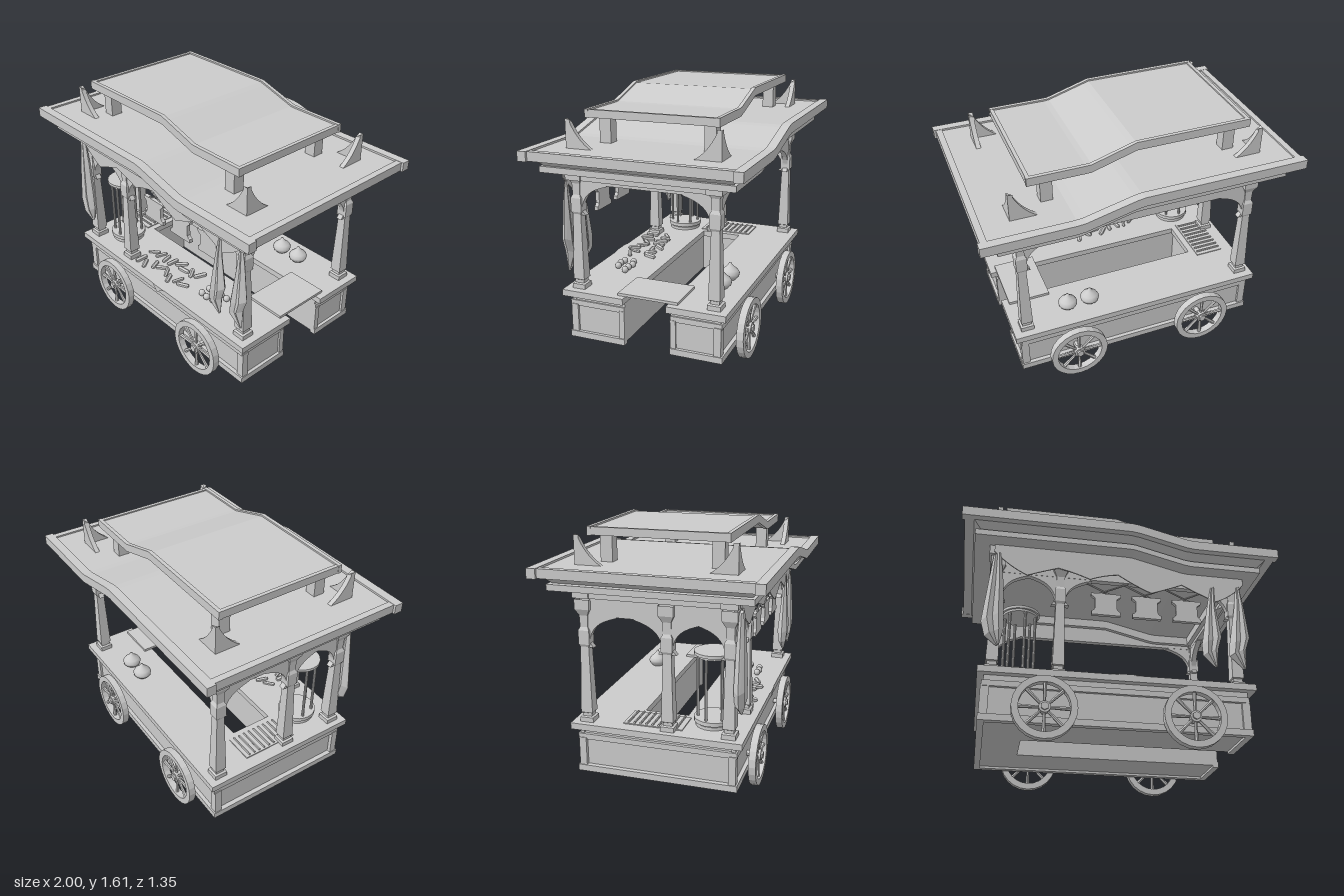
import * as THREE from 'three';

const mat = new THREE.MeshStandardMaterial({ color: 0xcccccc, side: THREE.DoubleSide });
const flat = new THREE.MeshStandardMaterial({ color: 0xcccccc, flatShading: true, side: THREE.DoubleSide });
const V2 = (a) => a.map(([x, y]) => new THREE.Vector2(x, y));

export function createModel() {
  const root = new THREE.Group();

  const add = (name, geo, pos = [0, 0, 0], parent = root, m = flat) => {
    const mesh = new THREE.Mesh(geo, m);
    mesh.name = name;
    mesh.position.set(...pos);
    parent.add(mesh);
    return mesh;
  };
  // Box given by its lower and upper limits on each axis
  const box = (name, x0, x1, y0, y1, z0, z1, parent = root) =>
    add(name, new THREE.BoxGeometry(x1 - x0, y1 - y0, z1 - z0), [(x0 + x1) / 2, (y0 + y1) / 2, (z0 + z1) / 2], parent);
  const extrude = (shape, depth) => new THREE.ExtrudeGeometry(shape, { depth, bevelEnabled: false, curveSegments: 8 });

  // The roof steps down towards +x between a and b
  const drop = (x, a = 0.07, b = 0.42) => -0.085 * THREE.MathUtils.clamp((x - a) / (b - a), 0, 1);
  const bentBox = (name, x0, x1, y0, y1, z0, z1, { a, b, inset = 0, flatBelow = 0 } = {}) => {
    const geo = new THREE.BoxGeometry(x1 - x0, y1 - y0, z1 - z0, 40, 1, 1);
    geo.translate((x0 + x1) / 2, (y0 + y1) / 2, (z0 + z1) / 2);
    const p = geo.attributes.position;
    for (let i = 0; i < p.count; i++) {
      const x = p.getX(i), y = p.getY(i), z = p.getZ(i);
      if (y < (y0 + y1) / 2) {
        p.setX(i, x * (1 - inset / x1));
        p.setZ(i, z * (1 - inset / z1));
      }
      if (y >= flatBelow) p.setY(i, y + drop(x, a, b));
    }
    geo.computeVertexNormals();
    return add(name, geo);
  };

  // Counter body: a U open at +x
  box('frontCounter', -0.79, 0.78, 0.13, 0.4, 0.13, 0.475);
  box('backCounter', -0.79, 0.78, 0.13, 0.4, -0.475, -0.17);
  box('endCounter', -0.79, -0.55, 0.13, 0.4, -0.17, 0.13);
  box('frontCounterTop', -0.84, 0.83, 0.395, 0.435, 0.12, 0.53);
  box('backCounterTop', -0.84, 0.83, 0.395, 0.435, -0.53, -0.16);
  box('endCounterTop', -0.84, -0.53, 0.395, 0.435, -0.16, 0.12);
  box('counterFlap', 0.52, 0.79, 0.436, 0.453, -0.22, 0.17);
  for (const s of [1, -1]) {
    const zi = s > 0 ? 0.13 : 0.17;
    const span = (a, b) => (s > 0 ? [a, b] : [-b, -a]);
    box('bottomRail', -0.82, 0.8, 0.115, 0.155, ...span(0.46, 0.5));
    box('topRail', -0.81, 0.79, 0.325, 0.36, ...span(0.46, 0.495));
    box('upperBand', -0.8, 0.785, 0.36, 0.4, ...span(0.46, 0.485));
    box('endBottomRail', 0.76, 0.8, 0.115, 0.155, ...span(zi, 0.5));
    box('endTopRail', 0.76, 0.79, 0.325, 0.36, ...span(zi, 0.495));
    for (const [x0, x1] of [[-0.815, -0.765], [0.745, 0.795]])
      box('cornerStile', x0, x1, 0.155, 0.335, ...span(0.445, 0.49));
    box('innerStile', 0.76, 0.793, 0.155, 0.335, ...span(zi, zi + 0.035));
  }
  box('farBottomRail', -0.82, -0.78, 0.115, 0.155, -0.5, 0.5);
  box('farTopRail', -0.81, -0.78, 0.325, 0.36, -0.49, 0.49);

  // Wheels with rim, spokes, hub and nut
  const ring = new THREE.Shape().absarc(0, 0, 0.19, 0, Math.PI * 2);
  ring.holes.push(new THREE.Path().absarc(0, 0, 0.15, 0, Math.PI * 2, true));
  const rimGeo = new THREE.ExtrudeGeometry(ring, { depth: 0.045, bevelEnabled: false, curveSegments: 12 });
  const disc = (r, h, n) => new THREE.CylinderGeometry(r, r, h, n).rotateX(Math.PI / 2);
  for (const x of [-0.45, 0.43]) for (const s of [1, -1]) {
    const wheel = new THREE.Group();
    wheel.name = 'wheel';
    wheel.position.set(x, 0.193, s * 0.547);
    if (s < 0) wheel.rotation.y = Math.PI;
    add('rim', rimGeo, [0, 0, -0.0225], wheel);
    for (let i = 0; i < 8; i++) {
      const a = i * Math.PI / 4;
      const spoke = add('spoke', new THREE.CylinderGeometry(0.013, 0.008, 0.14, 6), [0.09 * Math.cos(a), 0.09 * Math.sin(a), 0], wheel);
      spoke.rotation.z = a - Math.PI / 2;
    }
    add('hub', disc(0.035, 0.04, 16), [0, 0, 0], wheel);
    add('nut', disc(0.024, 0.02, 6), [0, 0, 0.022], wheel);
    add('axle', disc(0.018, 0.11, 10), [0, 0, -0.05], wheel);
    root.add(wheel);
  }

  // Square turned posts
  const postPts = V2([[0.042, 0.43], [0.042, 0.465], [0.029, 0.47], [0.029, 0.49], [0.037, 0.495], [0.026, 0.91], [0.034, 0.925],
    [0.034, 1.01], [0.024, 1.03], [0.026, 1.1], [0.046, 1.14], [0.046, 1.2]].map(([r, y]) => [r * Math.SQRT2, y]));
  const postGeo = new THREE.LatheGeometry(postPts, 4, Math.PI / 4);
  // Curved brace springing from a post; the angle points it along the beam
  const braceShape = new THREE.Shape(V2([[0, 0], [0.055, 0], [0.03, 0.03]]));
  braceShape.bezierCurveTo(0.04, 0.12, 0.09, 0.16, 0.2, 0.19);
  braceShape.lineTo(0.2, 0.22);
  braceShape.lineTo(0, 0.22);
  const braceGeo = extrude(braceShape, 0.036).translate(0, 0, -0.018);
  const E = 0, W = Math.PI, N = Math.PI / 2, S = -Math.PI / 2;
  const posts = [[-0.76, 0.44, [E, N]], [-0.37, 0.44, [E, W]], [0.74, 0.44, [W, N]],
    [0.74, -0.44, [W, S]], [-0.76, -0.44, [E, S]], [-0.76, 0.07, [N, S]]];
  for (const [x, z, dirs] of posts) {
    add('post', postGeo, [x, 0, z]);
    for (const d of dirs) add('archBrace', braceGeo, [x, 0.905, z]).rotation.y = d;
  }

  // Beams: level underside, top following the roof
  for (const z of [0.44, -0.44]) {
    bentBox('longBeam', -0.78, 0.76, 1.1, 1.24, z - 0.02, z + 0.02, { flatBelow: 1.15 });
    bentBox('longPlate', -0.82, 0.8, 1.21, 1.28, z - 0.05, z + 0.05);
  }
  box('endBeam', 0.72, 0.76, 1.1, 1.15, -0.44, 0.44);
  box('endPlate', 0.69, 0.79, 1.125, 1.19, -0.44, 0.44);
  box('farBeam', -0.78, -0.74, 1.1, 1.24, -0.44, 0.44);
  box('farPlate', -0.81, -0.71, 1.21, 1.28, -0.44, 0.44);

  // Main roof with stepped eaves
  bentBox('eaveStep', -0.915, 0.895, 1.268, 1.305, -0.6, 0.6);
  bentBox('eaveCove', -0.93, 0.93, 1.305, 1.355, -0.635, 0.635, { inset: 0.055 });
  bentBox('roofDeck', -0.97, 0.97, 1.352, 1.398, -0.63, 0.63);
  for (const s of [1, -1]) {
    bentBox('roofEdgeBoard', -1, 1, 1.35, 1.41, s * 0.645 - 0.028, s * 0.645 + 0.028);
    box('roofEndBoard', s * 0.965 - 0.02, s * 0.965 + 0.02, 1.352 + drop(s), 1.408 + drop(s), -0.63, 0.63);
  }

  // Raised upper roof on short legs
  const up = { a: 0, b: 0.28 };
  bentBox('upperRoof', -0.715, 0.645, 1.565, 1.602, -0.405, 0.405, up);
  for (const s of [1, -1]) {
    bentBox('upperEdgeBoard', -0.73, 0.66, 1.56, 1.612, s * 0.41 - 0.012, s * 0.41 + 0.012, up);
    for (const x of [-0.622, 0.535])
      box('upperRoofLeg', x - 0.037, x + 0.037, 1.39 + drop(x), 1.58 + drop(x), s * 0.335 - 0.037, s * 0.335 + 0.037);
  }
  box('upperEndBoard', -0.728, -0.705, 1.562, 1.61, -0.4, 0.4);
  box('upperEndBoard', 0.635, 0.658, 1.477, 1.525, -0.4, 0.4);

  // Corner horns, each an L of two curved fins
  const fin = new THREE.Shape(V2([[0, 0], [0, 0.175], [-0.03, 0.155]]));
  fin.quadraticCurveTo(-0.08, 0.05, -0.165, 0);
  const finGeo = extrude(fin, 0.03);
  for (const sx of [1, -1]) for (const sz of [1, -1]) {
    const horn = new THREE.Group();
    horn.name = 'cornerHorn';
    horn.scale.set(sx, 1, sz);
    const y = 1.396 + drop(sx);
    add('hornFin', finGeo, [0.785, y, 0.45], horn);
    add('hornFin', finGeo, [0.785, y, 0.48], horn).rotation.y = -Math.PI / 2;
    root.add(horn);
  }

  // Pointed cloth valance along the front
  const valance = new THREE.Shape(V2([[0.81, 1.14], [0.81, 1.19], [0.42, 1.19], [0.07, 1.275], [-0.79, 1.275], [-0.79, 1.22]]));
  for (const [tx, ty, vx, vy] of [[-0.58, 1.07, -0.39, 1.14], [-0.19, 1.08, -0.01, 1.13], [0.2, 1.02, 0.4, 1.1], [0.62, 1.0, 0.81, 1.14]]) {
    valance.quadraticCurveTo(tx - 0.1, ty + 0.04, tx, ty);
    valance.quadraticCurveTo(vx - 0.09, ty + 0.04, vx, vy);
  }
  add('valance', extrude(valance, 0.008), [0, 0, 0.495]);

  // Gathered drapes: rows of [x, y, half width]
  const drape = (rows) => {
    const n = rows.length - 1, geo = new THREE.CylinderGeometry(1, 1, n, 12, n);
    const p = geo.attributes.position;
    for (let i = 0; i < p.count; i++) {
      const [x, y, w] = rows[Math.round(n / 2 - p.getY(i))];
      const fold = 1 + 0.3 * Math.cos(Math.atan2(p.getZ(i), p.getX(i)) * 6);
      p.setXYZ(i, x + p.getX(i) * w, y + p.getX(i) * w * 0.5, 0.5 + p.getZ(i) * Math.min(w, 0.06) * 0.5 * fold);
    }
    add('drape', geo);
  };
  drape([[-0.77, 1.2, 0.022], [-0.77, 1.0, 0.045], [-0.775, 0.76, 0.066], [-0.76, 0.66, 0.055], [-0.735, 0.58, 0.01]]);
  drape([[0.6, 1.1, 0.015], [0.585, 0.95, 0.03], [0.577, 0.72, 0.065], [0.565, 0.64, 0.05], [0.597, 0.545, 0.008]]);
  drape([[0.77, 1.12, 0.012], [0.77, 0.98, 0.032], [0.757, 0.73, 0.068], [0.74, 0.65, 0.055], [0.78, 0.545, 0.008]]);

  // Hanging boards on crossed ropes
  const half = [[0.08, 0.895], [0.07, 0.91], [0.07, 0.98], [0.095, 1.0], [0.095, 1.015]];
  const board = new THREE.Shape(V2([[-0.092, 0.865], [0.092, 0.865], [0.092, 0.89], ...half,
    ...half.slice().reverse().map(([x, y]) => [-x, y]), [-0.092, 0.89]]));
  const boardGeo = extrude(board, 0.025);
  for (const x of [-0.08, 0.18, 0.44]) {
    add('hangingBoard', boardGeo, [x, 0, 0.428]);
    for (const s of [1, -1]) {
      const rope = new THREE.LineCurve3(new THREE.Vector3(x + s * 0.16, 1.11, 0.44 + s * 0.008), new THREE.Vector3(x - s * 0.05, 1.012, 0.44 + s * 0.008));
      add('rope', new THREE.TubeGeometry(rope, 1, 0.006, 6));
    }
  }

  // Round display case
  const C = [-0.6, 0.3];
  for (const [r, y, h] of [[0.11, 0.445, 0.02], [0.085, 0.458, 0.015], [0.12, 0.475, 0.025], [0.12, 0.892, 0.018], [0.108, 0.877, 0.016]])
    add('caseDisc', new THREE.CylinderGeometry(r, r, h, 24), [C[0], y, C[1]], root, mat);
  for (let i = 0; i < 6; i++) {
    const a = i * Math.PI / 3 + 0.25;
    add('caseBar', new THREE.CylinderGeometry(0.009, 0.009, 0.4, 8), [C[0] + 0.095 * Math.cos(a), 0.68, C[1] + 0.095 * Math.sin(a)]);
  }

  // Lidded pots on the back counter
  const potGeo = new THREE.LatheGeometry(V2([[0, 0.435], [0.035, 0.435], [0.058, 0.46], [0.062, 0.48], [0.05, 0.5], [0.025, 0.52], [0.012, 0.535], [0.008, 0.545], [0, 0.55]]), 16);
  for (const x of [0.29, 0.44]) add('pot', potGeo, [x, 0, -0.37], root, mat);

  // Cloth on the front counter with a point over the edge
  add('cloth', new THREE.ShapeGeometry(new THREE.Shape(V2([[-0.33, -0.25], [0.1, -0.2], [0.3, -0.22], [0.25, -0.5], [0.09, -0.535], [-0.02, -0.535], [-0.28, -0.48]]))).rotateX(-Math.PI / 2), [0, 0.438, 0]);
  add('clothTip', new THREE.ShapeGeometry(new THREE.Shape(V2([[-0.02, 0.438], [0.02, 0.39], [0.09, 0.438]]))), [0, 0, 0.535]);

  // Loaves, fruit and skewers
  let seed = 7;
  const rnd = () => (seed = (seed * 16807) % 2147483647) / 2147483647;
  for (let i = 0; i < 16; i++) {
    const loaf = add('loaf', new THREE.CapsuleGeometry(0.012 + rnd() * 0.005, 0.06, 3, 6).rotateZ(Math.PI / 2),
      [-0.28 + (i % 8) * 0.06, 0.45, (i < 8 ? 0.25 : 0.38) + rnd() * 0.07]);
    loaf.rotation.y = rnd() * 2.4;
  }
  for (let i = 0; i < 7; i++)
    add('fruit', new THREE.SphereGeometry(0.022, 10, 8), [0.29 + (i % 4) * 0.05, 0.455, 0.29 + (i > 3 ? 0.07 : 0) + rnd() * 0.02], root, mat);
  box('skewerTray', -0.76, -0.57, 0.435, 0.441, -0.22, 0.15);
  for (let i = 0; i < 9; i++)
    add('skewer', new THREE.CylinderGeometry(0.007, 0.007, 0.17, 6).rotateZ(Math.PI / 2), [-0.665, 0.447, -0.19 + i * 0.038]);

  return root;
}
